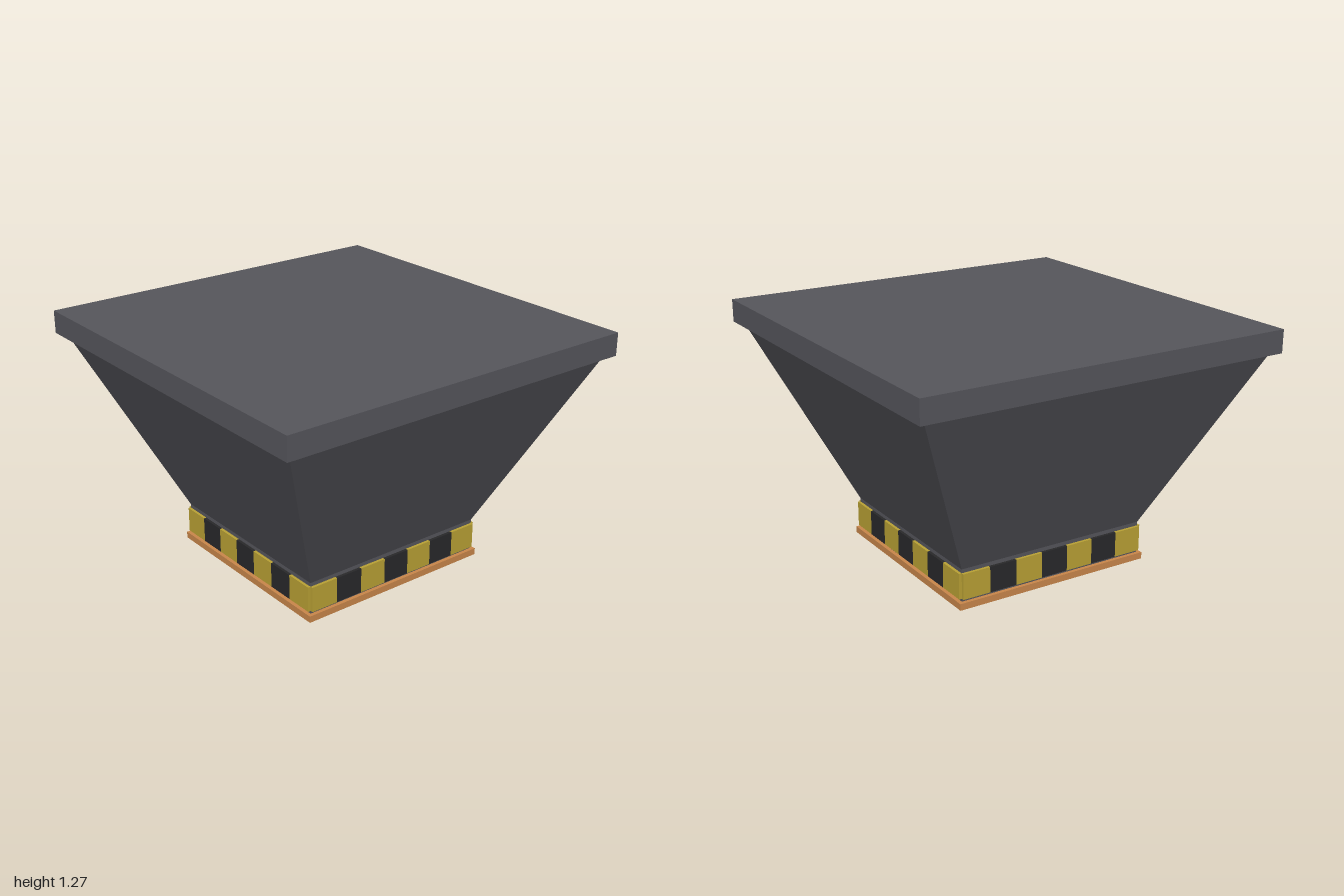
import * as THREE from 'three';

const mat = (color) => new THREE.MeshStandardMaterial({ color, flatShading: true });

// Square part: a profile of [half width, y] points swept around four sides
function squareLathe(profile, material, name) {
  const points = profile.map(([half, y]) => new THREE.Vector2(half * Math.SQRT2, y));
  const geometry = new THREE.LatheGeometry(points, 4, Math.PI / 4).toNonIndexed();
  geometry.computeVertexNormals();
  const mesh = new THREE.Mesh(geometry, material);
  mesh.name = name;
  return mesh;
}

export function createModel() {
  const group = new THREE.Group();
  group.name = 'hopper';
  const steel = mat(0x55555b);
  const yellow = mat(0xb8a034);
  const black = mat(0x28282a);
  const copper = mat(0xc8864a);

  // Lid slab
  const lid = new THREE.Mesh(new THREE.BoxGeometry(2, 0.12, 2), steel);
  lid.position.y = 1.21;
  lid.name = 'lid';
  group.add(lid);

  // Hollow funnel and neck, open at the bottom
  group.add(squareLathe(
    [[0.53, 0.02], [0.53, 0.205], [0.96, 1.15], [0.9, 1.15], [0.47, 0.205], [0.47, 0.02], [0.53, 0.02]],
    steel, 'funnel'));

  // Copper rim around the outlet
  group.add(squareLathe(
    [[0.55, 0], [0.55, 0.035], [0.515, 0.035], [0.515, 0], [0.55, 0]],
    copper, 'outletRim'));

  // Warning stripes, seven on each side of the neck
  const count = 7, width = 1.06 / count;
  const stripe = new THREE.BoxGeometry(width, 0.135, 0.015);
  for (let side = 0; side < 4; side++) {
    const band = new THREE.Group();
    band.name = 'stripeBand';
    band.rotation.y = side * Math.PI / 2;
    for (let i = 0; i < count; i++) {
      const mesh = new THREE.Mesh(stripe, i % 2 ? black : yellow);
      mesh.name = i % 2 ? 'blackStripe' : 'yellowStripe';
      mesh.position.set((i - (count - 1) / 2) * width, 0.1175, 0.5375);
      band.add(mesh);
    }
    group.add(band);
  }
  return group;
}
